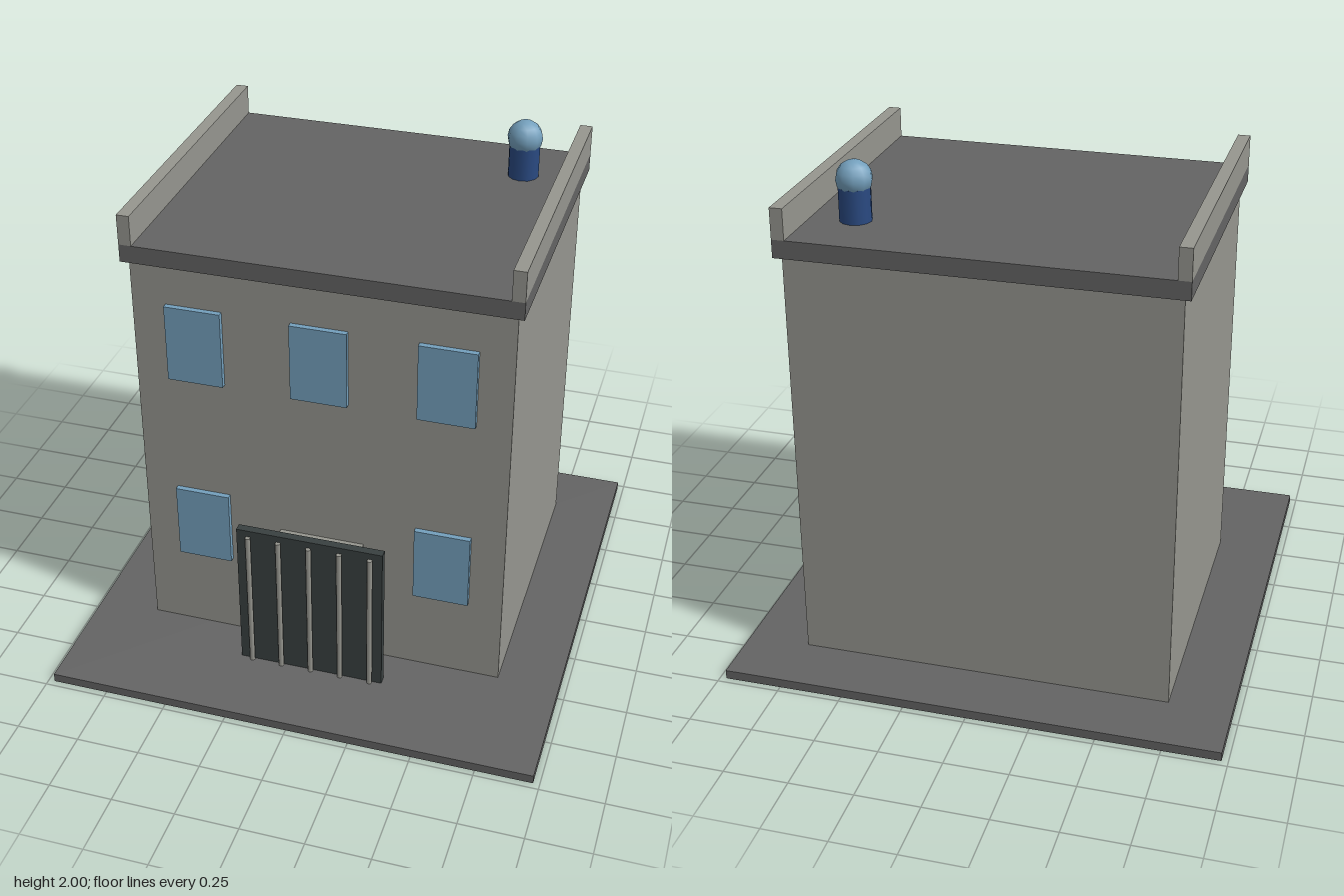
import * as THREE from 'three';

export function createModel() {
  const model = new THREE.Group();
  model.name = 'building';

  const mat = (name, color) => {
    const m = new THREE.MeshStandardMaterial({ color });
    m.name = name;
    return m;
  };
  const wall = mat('wall grey', 0x96968f);
  const slab = mat('slab grey', 0x646464);
  const glass = mat('window blue', 0x74a0bd);
  const gateDark = mat('gate charcoal', 0x394040);
  const navy = mat('tank navy', 0x2a4a82);

  const add = (name, geometry, material, x, y, z) => {
    const mesh = new THREE.Mesh(geometry, material);
    mesh.name = name;
    mesh.position.set(x, y, z);
    model.add(mesh);
    return mesh;
  };
  // Box given by its extents on each axis
  const box = (name, material, [x0, x1], [y0, y1], [z0, z1]) =>
    add(name, new THREE.BoxGeometry(x1 - x0, y1 - y0, z1 - z0), material,
      (x0 + x1) / 2, (y0 + y1) / 2, (z0 + z1) / 2);

  // Ground slab, main block and roof slab
  box('groundSlab', slab, [-0.975, 0.975], [0, 0.036], [-0.975, 0.975]);
  box('mainBlock', wall, [-0.73, 0.73], [0.036, 1.7], [-0.727, 0.486]);
  box('roofSlab', slab, [-0.755, 0.755], [1.7, 1.77], [-0.755, 0.513]);

  // Parapets along both sides of the roof
  box('leftParapet', wall, [0.706, 0.755], [1.77, 1.89], [-0.755, 0.513]);
  box('rightParapet', wall, [-0.755, -0.706], [1.77, 1.89], [-0.755, 0.513]);

  // Windows: three upstairs, two beside the entrance
  for (const [x, y] of [[-0.487, 1.217], [0, 1.217], [0.487, 1.217], [-0.487, 0.39], [0.487, 0.39]]) {
    box('window', glass, [x - 0.11, x + 0.11], [y, y + 0.315], [0.486, 0.508]);
  }

  // Door behind the free-standing gate
  box('door', wall, [-0.17, 0.17], [0.036, 0.58], [0.486, 0.513]);
  box('gate', gateDark, [-0.293, 0.293], [0.036, 0.675], [0.619, 0.652]);
  const barGeometry = new THREE.CylinderGeometry(0.011, 0.011, 0.612, 8);
  for (let i = -2; i <= 2; i++) {
    add('gateBar', barGeometry, wall, i * 0.1225, 0.342, 0.659);
  }

  // Roof tank with a dome
  add('tank', new THREE.CylinderGeometry(0.061, 0.061, 0.13, 12), navy, 0.535, 1.835, -0.487);
  add('tankDome', new THREE.SphereGeometry(0.07, 10, 8), glass, 0.535, 1.93, -0.487);

  return model;
}
